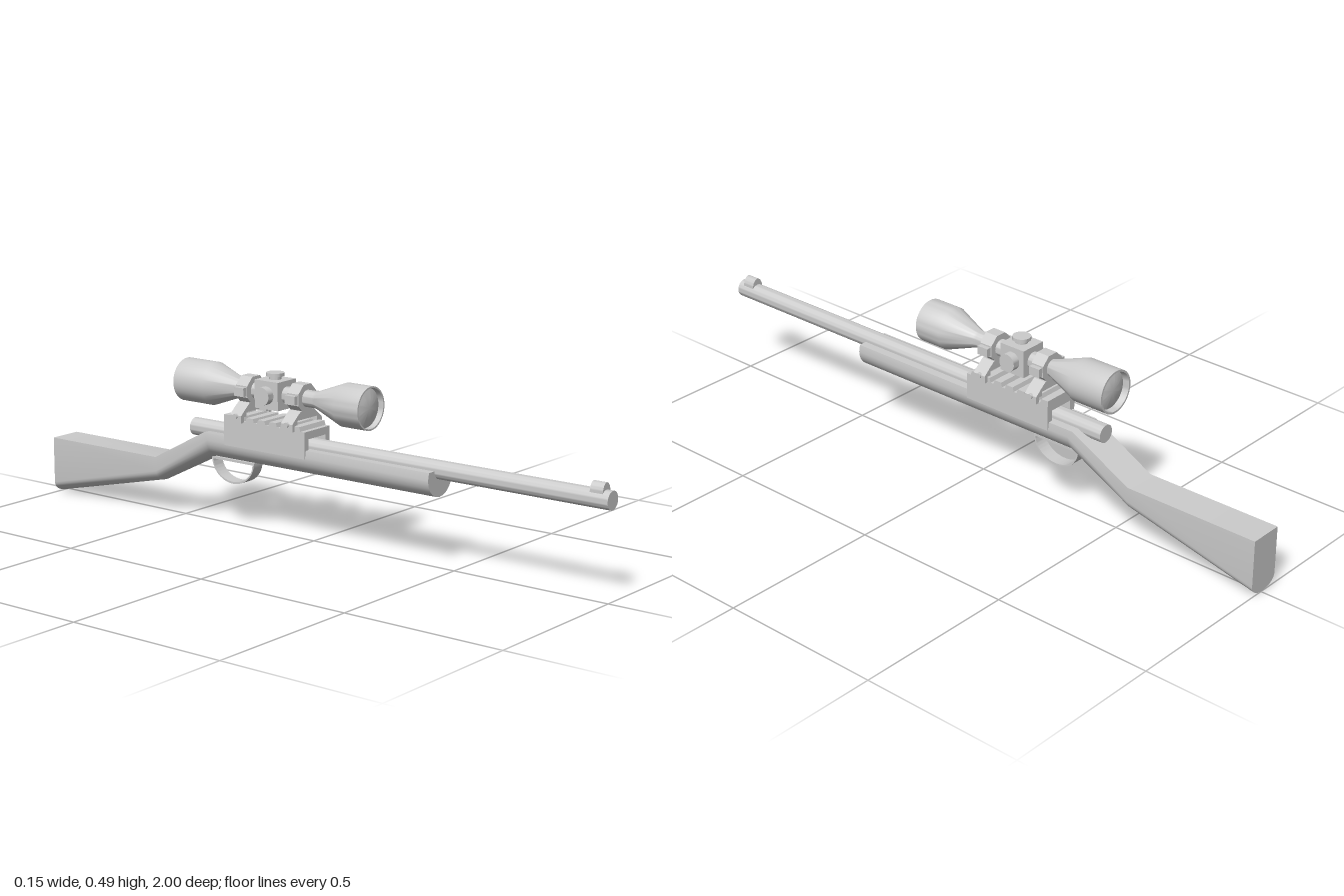
import * as THREE from 'three';
import { toCreasedNormals } from 'three/addons/utils/BufferGeometryUtils.js';

const material = new THREE.MeshStandardMaterial({ color: 0xcccccc, side: THREE.DoubleSide });

function add(parent, name, geometry, x = 0, y = 0, z = 0) {
  const mesh = new THREE.Mesh(toCreasedNormals(geometry, 0.6), material);
  mesh.name = name;
  mesh.position.set(x, y, z);
  parent.add(mesh);
  return mesh;
}

const box = (w, h, d) => new THREE.BoxGeometry(w, h, d);
const polygon = (pts) => new THREE.Shape(pts.map(([x, y]) => new THREE.Vector2(x, y)));

// Extrude centred on its own depth
function extrude(shape, depth) {
  const g = new THREE.ExtrudeGeometry(shape, { depth, bevelEnabled: false, curveSegments: 20 });
  return g.translate(0, 0, -depth / 2);
}

// Extrude a (z, y) side profile across the width
const sideExtrude = (shape, width) => extrude(shape, width).rotateY(-Math.PI / 2);

// Stock: flat-topped, round-bottomed sections joined front to back
function stockGeometry() {
  // [z at top, z at bottom, top y, side edge y, bottom y, half width at top, half width at edge]
  const sections = [
    [0.445, 0.445, 0.283, 0.262, 0.205, 0.053, 0.057],
    [-0.375, -0.36, 0.283, 0.262, 0.205, 0.053, 0.056],
    [-0.572, -0.57, 0.178, 0.135, 0.1, 0.051, 0.051],
    [-1, -1, 0.178, 0.034, 0.001, 0.052, 0.052],
  ];
  const arc = 14, n = arc + 3, pos = [], index = [];
  for (const [zt, zb, top, edge, bottom, wt, we] of sections) {
    pos.push(-wt, top, zt);
    for (let i = 0; i <= arc; i++) {
      const a = Math.PI * i / arc;
      pos.push(-we * Math.cos(a), edge - (edge - bottom) * Math.sin(a), zb);
    }
    pos.push(wt, top, zt);
  }
  for (let s = 0; s < sections.length - 1; s++) {
    for (let i = 0; i < n; i++) {
      const a = s * n + i, b = s * n + (i + 1) % n;
      index.push(a, a + n, b, b, a + n, b + n);
    }
  }
  const last = (sections.length - 1) * n;
  for (let i = 1; i < n - 1; i++) {
    index.push(0, i, i + 1, last, last + i + 1, last + i);
  }
  const g = new THREE.BufferGeometry();
  g.setAttribute('position', new THREE.Float32BufferAttribute(pos, 3));
  g.setIndex(index);
  return g;
}

function buildScope() {
  const scope = new THREE.Group();
  scope.name = 'scope';
  scope.position.y = 0.424;

  // Body with recessed, slightly domed lenses at both ends: [radius, z]
  const profile = [
    [0, -0.472], [0.03, -0.47], [0.057, -0.462], [0.059, -0.482], [0.065, -0.482],
    [0.065, -0.37], [0.026, -0.262], [0.025, -0.25], [0.025, 0.01], [0.027, 0.02],
    [0.064, 0.118], [0.064, 0.205], [0.059, 0.205], [0.058, 0.188], [0.03, 0.196], [0, 0.199],
  ].map(([r, z]) => new THREE.Vector2(r, z));
  add(scope, 'scopeBody', new THREE.LatheGeometry(profile, 40).rotateX(Math.PI / 2));

  // Turret housing with a top cap and two side knobs
  add(scope, 'turretHousing', box(0.084, 0.084, 0.086), 0, 0, -0.143);
  add(scope, 'turretStem', new THREE.CylinderGeometry(0.018, 0.018, 0.02, 20), 0, 0.047, -0.143);
  add(scope, 'turretCap', new THREE.CylinderGeometry(0.027, 0.027, 0.01, 24), 0, 0.057, -0.143);
  for (const s of [-1, 1]) {
    const knob = new THREE.CylinderGeometry(0.027, 0.027, 0.024, 24).rotateZ(Math.PI / 2);
    add(scope, 'sideKnob', knob, s * 0.053, 0, -0.143);
  }
  return scope;
}

function buildMount(z) {
  const mount = new THREE.Group();
  mount.name = 'scopeMount';
  mount.position.z = z;

  // Octagonal ring around the tube
  const ring = polygon([...Array(8).keys()].map((i) => {
    const a = (i + 0.5) * Math.PI / 4;
    return [0.045 * Math.cos(a), 0.045 * Math.sin(a)];
  }));
  ring.holes.push(new THREE.Path().absarc(0, 0, 0.024, 0, Math.PI * 2, true));
  add(mount, 'scopeRing', extrude(ring, 0.042), 0, 0.424, 0);

  // Arched base gripping the rail
  const half = [[0.03, 0.39], [0.047, 0.377], [0.07, 0.357], [0.07, 0.335], [0.058, 0.335],
    [0.058, 0.352], [0.045, 0.352], [0.045, 0.365]];
  const base = polygon([...half, ...half.map(([x, y]) => [-x, y]).reverse()]);
  add(mount, 'mountBase', extrude(base, 0.042));

  // Clamp screws and ring ears
  for (const s of [-1, 1]) {
    const screw = new THREE.CylinderGeometry(0.008, 0.008, 0.012, 12).rotateZ(Math.PI / 2);
    add(mount, 'clampScrew', screw, s * 0.069, 0.354, 0);
    add(mount, 'ringEar', box(0.016, 0.026, 0.036), s * 0.048, 0.424, 0);
  }
  return mount;
}

export function createModel() {
  const model = new THREE.Group();
  const rifle = new THREE.Group();
  rifle.name = 'rifle';
  rifle.rotation.y = 0.008;
  model.add(rifle);

  add(rifle, 'stock', stockGeometry());

  // Barrel and front sight
  const barrel = new THREE.CylinderGeometry(0.027, 0.027, 1.452, 32).rotateX(Math.PI / 2);
  add(rifle, 'barrel', barrel, 0, 0.283, 0.274);
  const sight = new THREE.Shape().absellipse(0, 0, 0.02, 0.032, 0, Math.PI * 2);
  add(rifle, 'frontSight', extrude(sight, 0.04), 0, 0.298, 0.96);

  // Receiver: an inverted channel straddling the barrel
  const channel = polygon([[-0.059, 0.258], [-0.059, 0.336], [0.059, 0.336], [0.059, 0.258],
    [0.04, 0.258], [0.04, 0.315], [-0.04, 0.315], [-0.04, 0.258]]);
  add(rifle, 'receiver', extrude(channel, 0.302), 0, 0, -0.139);

  // Toothed rail on top of the receiver
  const teeth = 7, pitch = 0.302 / teeth, rail = [[-0.29, 0.334]];
  for (let i = 0; i < teeth; i++) {
    const z = -0.29 + i * pitch;
    rail.push([z, 0.351], [z + pitch * 0.55, 0.351], [z + pitch * 0.65, 0.338]);
    if (i < teeth - 1) rail.push([z + pitch * 0.9, 0.338]);
  }
  rail.push([0.012, 0.338], [0.012, 0.334]);
  add(rifle, 'rail', sideExtrude(polygon(rail), 0.118));

  // Trigger guard: thin half-oval band closed by a top plate
  const guard = new THREE.Shape().absellipse(-0.29, 0.206, 0.081, 0.074, Math.PI, Math.PI * 2);
  const opening = new THREE.Path().absellipse(-0.29, 0.199, 0.075, 0.061, Math.PI, Math.PI * 2);
  opening.closePath();
  guard.closePath();
  guard.holes.push(opening);
  add(rifle, 'triggerGuard', sideExtrude(guard, 0.041));

  rifle.add(buildScope());
  for (const z of [-0.045, -0.236]) rifle.add(buildMount(z));
  return model;
}
